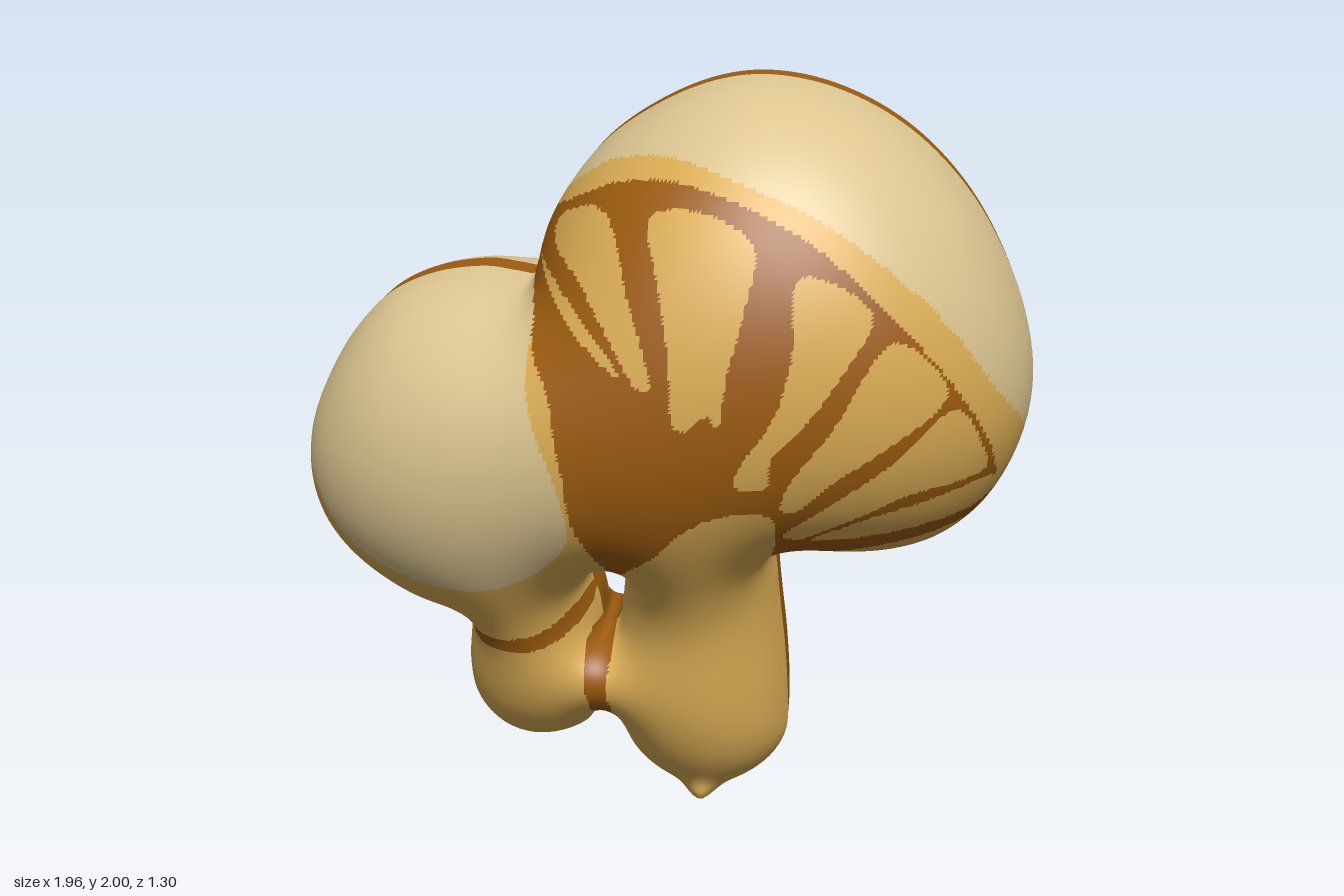
import * as THREE from 'three';

const STEP = 0.01, COLS = 204, ROWS = 204, X0 = -1.02, Y0 = -0.015;
const MAX_DEPTH = 0.65;

// smooth closed loop through a few points
const loop = (pts, n = 60) => new THREE.CatmullRomCurve3(
  pts.map(([x, y]) => new THREE.Vector3(x, y, 0)), true, 'centripetal').getPoints(n);

// silhouette: large stem, small stem, small cap, large cap
const outline = loop([
  [.11, 0], [0, .04], [-.08, .11], [-.125, .2], [-.15, .24], [-.18, .23], [-.22, .18], [-.3, .145],
  [-.38, .14], [-.46, .17], [-.53, .25], [-.55, .35], [-.545, .45], [-.54, .53], [-.65, .55], [-.78, .62],
  [-.88, .7], [-.95, .8], [-.98, .92], [-.97, 1.05], [-.92, 1.18], [-.84, 1.31], [-.74, 1.41], [-.62, 1.465],
  [-.48, 1.485], [-.4, 1.475], [-.345, 1.47], [-.335, 1.51], [-.31, 1.6], [-.25, 1.71], [-.15, 1.83], [-.02, 1.92],
  [.12, 1.98], [.25, 2], [.4, 1.98], [.55, 1.92], [.68, 1.83], [.8, 1.7], [.89, 1.55], [.95, 1.4],
  [.98, 1.25], [.975, 1.12], [.93, .98], [.86, .87], [.75, .78], [.62, .74], [.5, .735], [.38, .75],
  [.312, .75], [.315, .65], [.325, .55], [.34, .42], [.35, .25], [.345, .17], [.3, .09], [.22, .03], [.14, .005],
], 400);
// gap between the two stems
const gap = loop([[-.2, .64], [-.15, .69], [-.11, .7], [-.11, .6], [-.13, .49], [-.16, .48], [-.18, .56]], 50);

// painted regions
const gills = [
  [[-.26, 1.64], [-.2, 1.69], [-.13, 1.7], [-.09, 1.66], [-.05, 1.53], [0, 1.39], [.015, 1.31], [-.015, 1.31], [-.09, 1.42], [-.18, 1.54], [-.26, 1.6]],
  [[-.31, 1.55], [-.26, 1.53], [-.18, 1.47], [-.09, 1.38], [-.06, 1.33], [-.18, 1.42], [-.26, 1.5]],
  [[.005, 1.7], [.12, 1.72], [.26, 1.65], [.24, 1.5], [.2, 1.34], [.18, 1.22], [.155, 1.25], [.1, 1.21], [.075, 1.22], [.06, 1.39], [.03, 1.55]],
  [[.37, 1.58], [.545, 1.49], [.47, 1.34], [.375, 1.21], [.31, 1.14], [.3, 1.06], [.22, 1.065], [.24, 1.13], [.31, 1.235], [.355, 1.39]],
  [[.6, 1.42], [.735, 1.28], [.59, 1.155], [.455, 1.065], [.375, .99], [.335, .99], [.35, 1.06], [.455, 1.21]],
  [[.76, 1.235], [.84, 1.1], [.85, 1.05], [.64, 1.01], [.455, .92], [.375, .885], [.34, .905], [.4, .96], [.59, 1.1]],
  [[.87, 1.01], [.87, .94], [.69, .9], [.48, .875], [.41, .88], [.53, .94], [.69, .985]],
  [[.815, .865], [.745, .8], [.61, .78], [.375, .757], [.48, .8], [.64, .84]],
].map(p => loop(p));
const gillRidges = loop([
  [-.335, 1.5], [-.33, 1.57], [-.3, 1.64], [-.22, 1.7], [-.1, 1.76], [.05, 1.78], [.22, 1.74], [.4, 1.65], [.55, 1.52],
  [.7, 1.36], [.8, 1.22], [.86, 1.1], [.88, 1], [.87, .92], [.83, .84], [.75, .765], [.6, .725], [.4, .74], [.31, .75], [.312, .82],
  [.32, .9], [.31, .97], [.25, .985], [.15, .965], [.08, .92], [.02, .85], [-.06, .78], [-.105, .715],
  [-.12, .78], [-.15, .85], [-.19, .95], [-.2, 1.05], [-.22, 1.15], [-.24, 1.27], [-.29, 1.37], [-.3, 1.45],
], 150);
const ringMark = loop([[-.56, .525], [-.42, .525], [-.3, .55], [-.2, .605], [-.19, .57], [-.25, .52], [-.35, .485], [-.45, .485], [-.56, .505]]);
const bridgeMark = loop([[-.19, .5], [-.135, .5], [-.14, .36], [-.125, .22], [-.17, .22], [-.19, .3], [-.2, .4]]);
const smallCap = loop([
  [-.3, 1.5], [-.3, 1.3], [-.28, 1.2], [-.24, 1.1], [-.21, 1], [-.2, .9], [-.22, .85], [-.3, .77], [-.4, .72], [-.5, .705],
  [-.65, .72], [-.8, .78], [-.9, .88], [-.97, .99], [-1.1, 1.2], [-.9, 1.5], [-.6, 1.6], [-.36, 1.5],
], 100);
const largeCap = loop([
  [-.33, 1.62], [-.28, 1.68], [-.2, 1.75], [-.1, 1.81], [.05, 1.83], [.2, 1.79], [.4, 1.71], [.6, 1.57], [.75, 1.42],
  [.85, 1.28], [.92, 1.18], [.97, 1.1], [1.05, 1.06], [1.2, 1.4], [1, 2], [.3, 2.3], [-.3, 2.1], [-.5, 1.8],
], 100);

function inside(poly, x, y) {
  let hit = false;
  for (let i = 0, j = poly.length - 1; i < poly.length; j = i++) {
    const a = poly[i], b = poly[j];
    if ((a.y > y) !== (b.y > y) && x < (b.x - a.x) * (y - a.y) / (b.y - a.y) + a.x) hit = !hit;
  }
  return hit;
}

// nearest point on the silhouette and signed distance to it
function nearest(x, y) {
  let best = Infinity, px = 0, py = 0;
  for (const poly of [outline, gap]) for (let i = 0; i + 1 < poly.length; i++) {
    const a = poly[i], b = poly[i + 1], dx = b.x - a.x, dy = b.y - a.y;
    const t = Math.min(1, Math.max(0, ((x - a.x) * dx + (y - a.y) * dy) / (dx * dx + dy * dy || 1)));
    const qx = a.x + t * dx, qy = a.y + t * dy, d = (x - qx) ** 2 + (y - qy) ** 2;
    if (d < best) { best = d; px = qx; py = qy; }
  }
  const solid = inside(outline, x, y) && !inside(gap, x, y);
  return { px, py, s: Math.sqrt(best) * (solid ? 1 : -1) };
}

// inflate the silhouette like a balloon: returns node positions
function inflate() {
  const count = COLS * ROWS, u = new Float64Array(count), near = [], free = [];
  for (let k = 0; k < count; k++) {
    near.push(nearest(X0 + (k % COLS) * STEP, Y0 + Math.floor(k / COLS) * STEP));
    if (near[k].s > 0.4 * STEP) free.push(k);
  }
  const isFree = near.map(n => n.s > 0.4 * STEP);
  const cells = free.map(k => {
    let diag = 4;
    const links = [];
    for (const n of [k - 1, k + 1, k - COLS, k + COLS]) {
      if (isFree[n]) links.push(n);
      else diag -= Math.max(-1.5, near[n].s / near[k].s);
    }
    return { k, diag, links };
  });
  for (let pass = 0; pass < 500; pass++) for (const { k, diag, links } of cells) {
    let sum = 4 * STEP * STEP;
    for (const n of links) sum += u[n];
    u[k] += 1.95 * (sum / diag - u[k]);
  }
  let top = 0;
  for (const k of free) top = Math.max(top, Math.sqrt(Math.max(0, u[k])));
  const squash = 1 - MAX_DEPTH / top;
  const points = near.map((n, k) => {
    const x = isFree[k] ? X0 + (k % COLS) * STEP : n.px;
    const y = isFree[k] ? Y0 + Math.floor(k / COLS) * STEP : n.py;
    const z = Math.sqrt(Math.max(0, u[k]));
    const rim = 0.055 + 0.03 * Math.max(0, 1 - y) + 0.1 * Math.exp(-((x - .11) ** 2 + y * y) / .003);
    return [x, y, Math.hypot(z * (1 - squash * (z / top) ** 2), rim)];
  });
  return { points, isFree };
}

function partAt(x, y) {
  if (inside(gillRidges, x, y)) return gills.some(g => inside(g, x, y)) ? 'gills' : 'gillRidges';
  if (inside(ringMark, x, y)) return 'smallStemRing';
  if (inside(bridgeMark, x, y)) return 'stemJoint';
  if (inside(smallCap, x, y)) return 'smallCap';
  if (inside(largeCap, x, y)) return 'largeCap';
  if (x < -.16 && y < .53) return 'smallStem';
  if (x > -.16 && x < .34 && y < 1) return 'largeStem';
  return x < -.1 && y < 1.5 ? 'smallCapHem' : 'largeCapHem';
}

export function createModel() {
  const mat = (name, color) => Object.assign(new THREE.MeshStandardMaterial({ color }), { name });
  const cream = mat('cream', 0xdcc590), gold = mat('gold', 0xdcae55), brown = mat('brown', 0x9e5c10);
  const materials = {
    largeCap: cream, smallCap: cream, gillRidges: brown, smallStemRing: brown, stemJoint: brown, seam: brown,
  };

  const { points, isFree } = inflate();
  const ids = new Map(), front = [], parts = {}, skin = [], edges = new Map();
  const id = k => {
    if (!ids.has(k)) { ids.set(k, front.length); front.push(points[k]); }
    return ids.get(k);
  };

  // front triangles
  const tris = [];
  for (let r = 0; r < ROWS - 1; r++) for (let c = 0; c < COLS - 1; c++) {
    const a = r * COLS + c, b = a + 1, d = a + COLS, e = d + 1;
    for (const t of [[a, b, e], [a, e, d]]) if (t.some(k => isFree[k])) tris.push(t.map(id));
  }
  const N = front.length;
  const add = (name, ...idx) => (parts[name] ??= []).push(...idx);

  // sort triangles into parts and mirror them to the back
  for (const [a, b, c] of tris) {
    const mid = i => (front[a][i] + front[b][i] + front[c][i]) / 3;
    const both = [a, b, c, a + N, c + N, b + N];
    add(partAt(mid(0), mid(1)), ...both);
    skin.push(...both);
    for (const [p, q] of [[a, b], [b, c], [c, a]]) edges.set(p * N + q, [p, q]);
  }

  // seam joining front and back along the silhouette, and the flat foot
  const walls = { seam: [], largeStemFoot: [] }, wallAll = [];
  for (const [p, q] of edges.values()) {
    if (edges.has(q * N + p)) continue;
    const quad = [p, p + N, q + N, p, q + N, q];
    walls[front[p][1] < .012 && front[q][1] < .012 ? 'largeStemFoot' : 'seam'].push(...quad);
    wallAll.push(...quad);
  }

  const position = new THREE.Float32BufferAttribute(
    [...front, ...front.map(([x, y, z]) => [x, y, -z])].flat(), 3);
  const group = new THREE.Group();
  group.name = 'mushroomPair';
  const build = (whole, pieces) => {
    const base = new THREE.BufferGeometry().setAttribute('position', position).setIndex(whole);
    base.computeVertexNormals();
    for (const [name, index] of Object.entries(pieces)) {
      if (!index.length) continue;
      const geo = new THREE.BufferGeometry().setIndex(index);
      geo.setAttribute('position', position).setAttribute('normal', base.attributes.normal);
      const mesh = new THREE.Mesh(geo, materials[name] ?? gold);
      mesh.name = name;
      group.add(mesh);
    }
  };
  build(skin, parts);
  build(wallAll, walls);
  return group;
}
